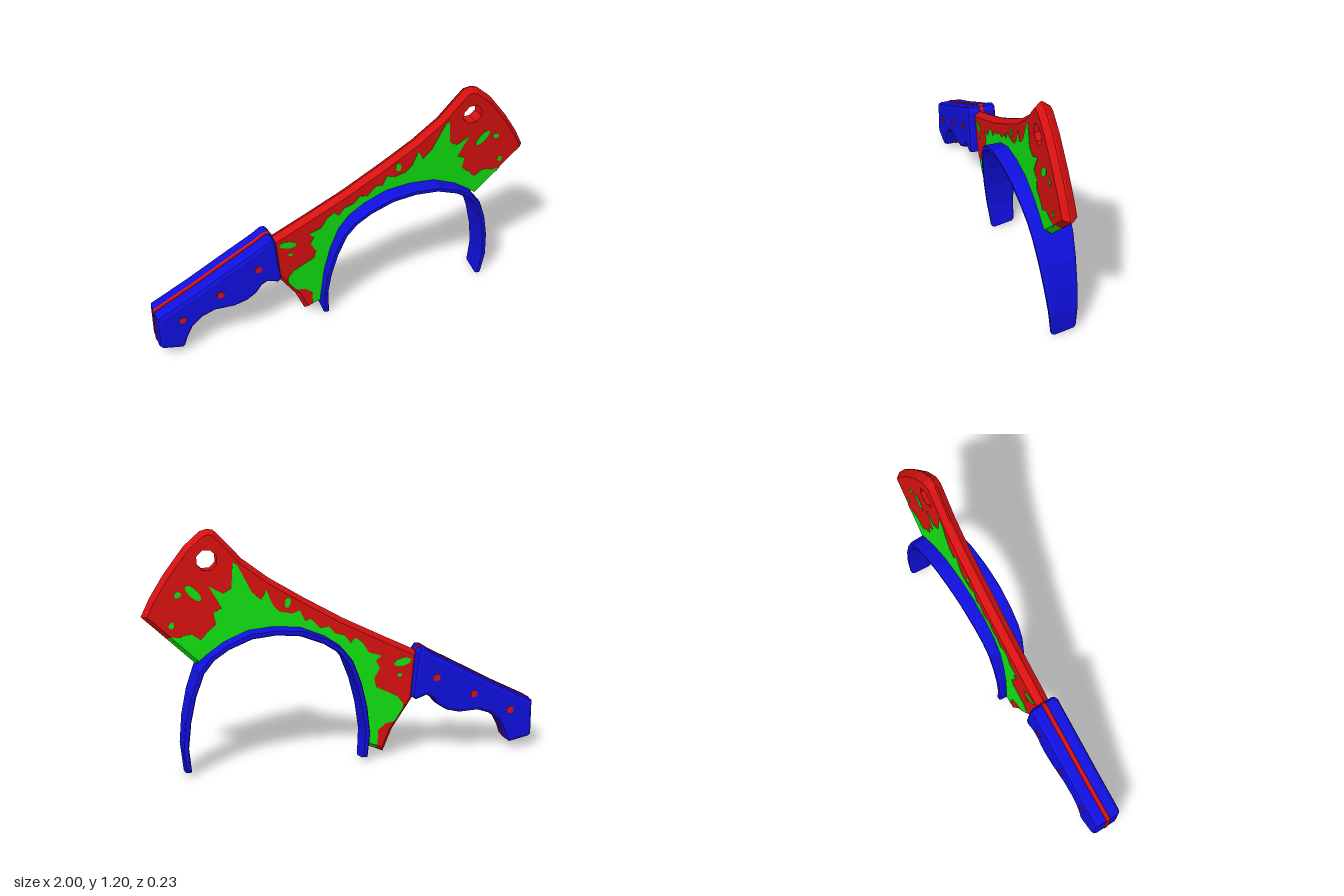
import * as THREE from 'three';

const material = (name, color) => {
  const m = new THREE.MeshStandardMaterial({ color });
  m.name = name;
  return m;
};

const toPoints = (pairs) => pairs.map(([x, y]) => new THREE.Vector2(x, y));

// Extrusion centred on z = 0 whose widest outline is the given shape
function slab(shape, depth, bevelThickness = 0, bevelSize = 0, bevelSegments = 1) {
  const g = new THREE.ExtrudeGeometry(shape, {
    depth: depth - 2 * bevelThickness, bevelEnabled: bevelThickness > 0,
    bevelThickness, bevelSize, bevelOffset: -bevelSize, bevelSegments, curveSegments: 10,
  });
  return g.translate(0, 0, bevelThickness - depth / 2);
}

// Move every vertex by a rule
function warp(g, rule) {
  const p = g.attributes.position;
  const v = new THREE.Vector3();
  for (let i = 0; i < p.count; i++) {
    v.fromBufferAttribute(p, i);
    rule(v);
    p.setXYZ(i, v.x, v.y, v.z);
  }
  g.computeVertexNormals();
  return g;
}

// The blade leans slightly
const lean = (v) => { v.z += -0.043 + 0.0135 * v.x + 0.048 * v.y; };

export function createModel() {
  const red = material('red', 0xd81010);
  const green = material('green', 0x10e010);
  const blue = material('blue', 0x1010e0);
  const model = new THREE.Group();
  model.name = 'cleaverHeadband';
  const add = (name, geometry, mat, parent = model) => {
    const mesh = new THREE.Mesh(geometry, mat);
    mesh.name = name;
    parent.add(mesh);
    return mesh;
  };

  // Half profiles of the band: distance from its middle, height
  const cx = 0.355;
  const outer = [[0, 0.727], [0.13, 0.715], [0.25, 0.665], [0.33, 0.61], [0.385, 0.54],
    [0.43, 0.42], [0.46, 0.29], [0.475, 0.15], [0.462, 0.007]];
  const inner = [[0, 0.695], [0.12, 0.683], [0.235, 0.637], [0.308, 0.588], [0.358, 0.525],
    [0.4, 0.41], [0.428, 0.285], [0.443, 0.15], [0.432, 0.007]];
  const middle = outer.map(([x, y], i) => [(x + inner[i][0]) / 2, (y + inner[i][1]) / 2]);
  // Run from index a on the right, over the top, to index b on the left
  const arch = (half, a, b) => [
    ...half.slice(1, a + 1).reverse().map(([x, y]) => [cx + x, y]),
    ...half.slice(0, b + 1).map(([x, y]) => [cx - x, y]),
  ];

  // Headband: wide at the top, tapering at the front towards the ends
  const bandShape = new THREE.Shape(toPoints([...arch(outer, 8, 8), ...arch(inner, 8, 8).reverse()]));
  add('headband', warp(slab(bandShape, 0.22, 0.012, 0.006), (v) => {
    if (v.z > 0) v.z += 0.14 * v.y - 0.1;
    if (v.y < 0.1) v.y -= v.z * 0.2;
  }), blue);

  // Blade with chamfered rim and an eight-sided hole
  const bladeShape = new THREE.Shape(toPoints([
    [-0.385, 0.55], [-0.2, 0.64], [0, 0.74], [0.2, 0.855], [0.37, 0.96], [0.5, 1.06], [0.6, 1.17],
    [0.635, 1.205], [0.665, 1.21], [0.7, 1.2], [0.78, 1.13], [0.88, 1.0], [0.95, 0.89], [0.995, 0.8],
    [0.875, 0.685], [0.74, 0.555], ...arch(middle, 3, 7),
    [-0.105, 0.075], [-0.16, 0.053], [-0.2, 0.035], [-0.25, 0.15], [-0.36, 0.31],
  ]));
  const hx = 0.675, hy = 1.065, holeRadius = 0.052;
  bladeShape.holes.push(new THREE.Path(toPoints(Array.from({ length: 8 }, (_, i) => {
    const a = (i + 0.5) * Math.PI / 4;
    return [hx + holeRadius * Math.cos(a), hy + holeRadius * Math.sin(a)];
  }))));
  const blade = warp(slab(bladeShape, 0.07, 0.031, 0.022), (v) => {
    const d = Math.hypot(v.x - hx, v.y - hy);
    if (d < 0.085) {
      v.x = hx + (v.x - hx) * holeRadius / d;
      v.y = hy + (v.y - hy) * holeRadius / d;
    }
    lean(v);
  });
  // Lower rim faces are green
  blade.clearGroups();
  const pos = blade.attributes.position, nor = blade.attributes.normal;
  for (let i = 0; i < pos.count; i += 3) {
    const x = (pos.getX(i) + pos.getX(i + 1) + pos.getX(i + 2)) / 3;
    const y = (pos.getY(i) + pos.getY(i + 1) + pos.getY(i + 2)) / 3;
    const isRim = Math.abs(nor.getZ(i)) < 0.9;
    blade.addGroup(i, 3, isRim && x > -0.16 && y < 0.685 && y < x + 0.7 ? 1 : 0);
  }
  add('blade', blade, [red, green]);

  // Green splashes, standing just proud of both blade faces
  const splashes = new THREE.Group();
  splashes.name = 'splashes';
  model.add(splashes);
  const splash = (name, shape) => add(name, warp(slab(shape, 0.074), lean), green, splashes);
  splash('mainSplash', new THREE.Shape(toPoints([
    [-0.165, 0.08], [-0.17, 0.16], [-0.21, 0.19], [-0.26, 0.2], [-0.3, 0.26], [-0.3, 0.29],
    [-0.27, 0.33], [-0.23, 0.35], [-0.16, 0.385], [-0.15, 0.43], [-0.18, 0.48], [-0.16, 0.52],
    [-0.19, 0.545], [-0.125, 0.565], [-0.09, 0.62], [-0.055, 0.645], [-0.03, 0.62], [0, 0.66],
    [0.05, 0.675], [0.08, 0.71], [0.125, 0.705], [0.17, 0.755], [0.2, 0.745], [0.225, 0.8],
    [0.26, 0.785], [0.33, 0.8], [0.36, 0.835], [0.39, 0.91], [0.415, 0.86], [0.46, 0.9],
    [0.495, 0.97], [0.53, 1.04], [0.55, 1.05], [0.56, 0.925], [0.6, 0.9], [0.67, 0.94],
    [0.63, 0.87], [0.61, 0.83], [0.65, 0.81], [0.64, 0.75], [0.68, 0.72], [0.715, 0.68],
    [0.76, 0.71], [0.8, 0.705], [0.845, 0.68], [0.862, 0.702], [0.728, 0.574],
    ...arch(outer, 3, 7), [-0.125, 0.09],
  ])));
  [[-0.3, 0.505, 0.045, 0.02, -0.2], [-0.285, 0.44, 0.012, 0.01, 0], [0.285, 0.84, 0.015, 0.025, 0.2],
    [0.745, 0.91, 0.05, 0.02, 0.8], [0.82, 0.905, 0.018, 0.014, -0.5], [0.855, 0.757, 0.013, 0.017, 0]]
    .forEach(([x, y, rx, ry, turn]) => splash('drop',
      new THREE.Shape(new THREE.Shape().absellipse(x, y, rx, ry, 0, Math.PI * 2, false, turn).getPoints(10).slice(0, -1))));

  // Handle with finger grips, a red tang showing round its edge, and rivets
  const handle = new THREE.Group();
  handle.name = 'handle';
  handle.position.z = -0.025;
  handle.rotation.y = -0.012;
  model.add(handle);
  const handleShape = new THREE.Shape(toPoints([
    [-0.997, 0.26], [-0.8, 0.36], [-0.6, 0.47], [-0.46, 0.545], [-0.41, 0.578], [-0.385, 0.578],
    [-0.37, 0.555], [-0.345, 0.325], [-0.365, 0.31], [-0.42, 0.33], [-0.45, 0.315], [-0.48, 0.275],
    [-0.53, 0.243], [-0.6, 0.225], [-0.7, 0.23], [-0.77, 0.205], [-0.82, 0.16], [-0.85, 0.1],
    [-0.865, 0.055], [-0.88, 0.042], [-0.985, 0.065], [-0.997, 0.08],
  ]));
  add('grip', slab(handleShape, 0.155, 0.022, 0.02, 2), blue, handle);
  const tang = new THREE.ExtrudeGeometry(handleShape, {
    depth: 0.02, bevelThickness: 0.002, bevelSize: 0.003, bevelSegments: 1,
  }).translate(0, 0, -0.01);
  add('tang', tang, red, handle);
  for (let i = 0; i < 3; i++) {
    const rivet = add('rivet', new THREE.CylinderGeometry(0.019, 0.019, 0.161, 10), red, handle);
    rivet.rotation.x = Math.PI / 2;
    rivet.position.set(-0.872 + 0.202 * i, 0.222 + 0.101 * i, 0);
  }
  return model;
}
